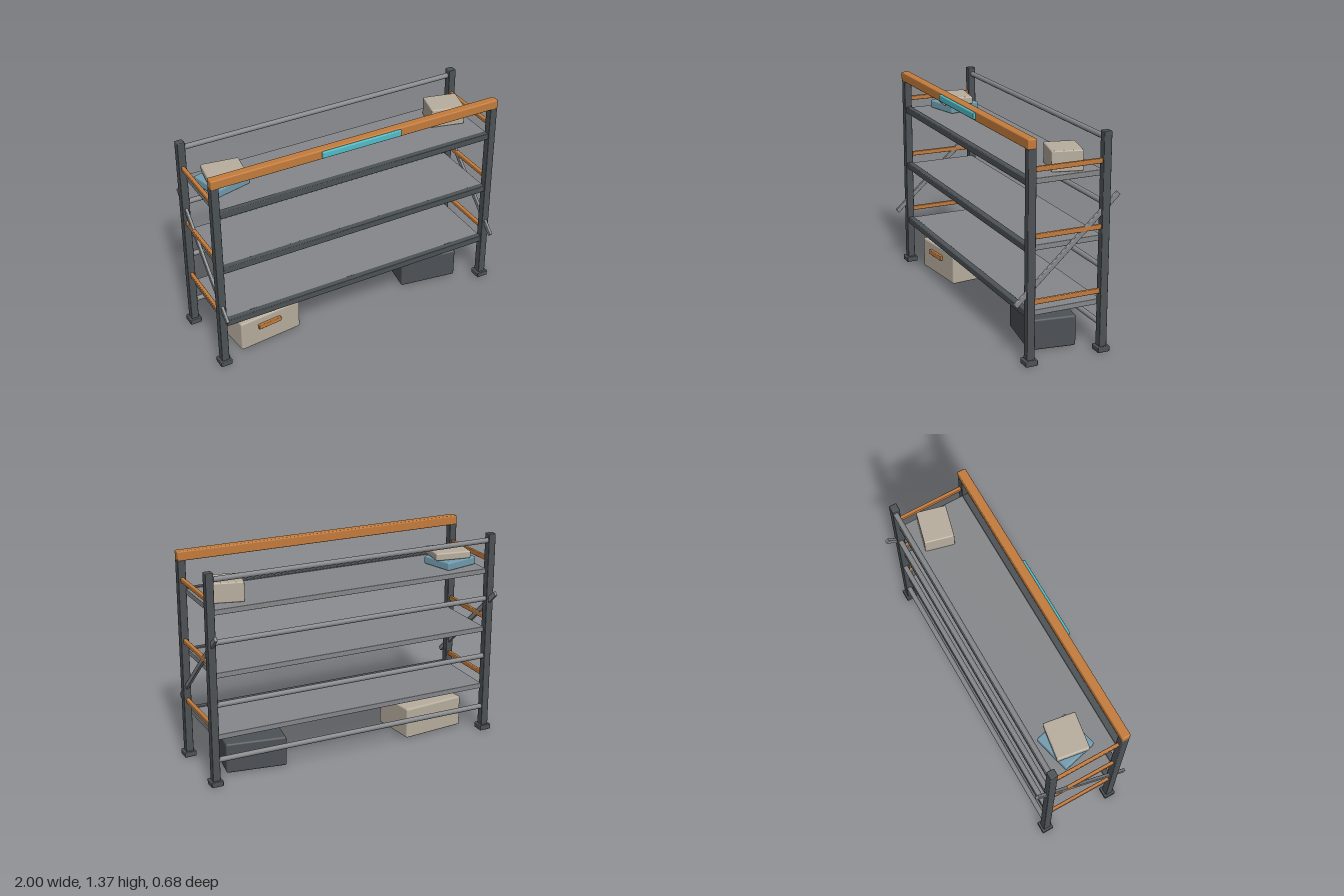
import * as THREE from 'three';
import { RoundedBoxGeometry } from 'three/addons/geometries/RoundedBoxGeometry.js';

function flat(name, color) {
  const m = new THREE.MeshStandardMaterial({ color });
  m.name = name;
  return m;
}

export function createModel() {
  const rack = new THREE.Group();
  rack.name = 'storageRack';

  const darkSteel = flat('darkSteel', 0x4d5256);
  const greySteel = flat('greySteel', 0x85878a);
  const orange = flat('orange', 0xc47c3c);
  const cyan = flat('cyan', 0x52bcc8);
  const beige = flat('beige', 0xb8ae9f);
  const blue = flat('blue', 0x729db0);
  const brass = flat('brass', 0xc79c45);

  // Softly bevelled box, placed by its centre and turned about y
  function block(name, material, size, position, turn = 0, bevel = 0.005) {
    const mesh = new THREE.Mesh(new RoundedBoxGeometry(...size, 2, bevel), material);
    mesh.name = name;
    mesh.position.set(...position);
    mesh.rotation.y = turn;
    rack.add(mesh);
    return mesh;
  }

  // Posts, feet, end bars and diagonal braces, mirrored left and right
  for (const [side, x] of [['left', 0.96], ['right', -0.96]]) {
    for (const [end, z, top] of [['Front', 0.239, 1.31], ['Back', -0.239, 1.36]]) {
      block(`${side}${end}Post`, darkSteel, [0.05, top - 0.01, 0.05], [x, (top + 0.01) / 2, z]);
      block(`${side}${end}Foot`, darkSteel, [0.078, 0.036, 0.078], [x, 0.018, z]);
    }
    for (const y of [0.388, 0.787, 1.185]) {
      block(`${side}EndBar`, orange, [0.022, 0.03, 0.45], [x, y, 0]);
    }
    const brace = block(`${side}Brace`, greySteel, [0.02, 0.031, 0.892], [x, 0.679, 0.002], 0, 0.004);
    brace.rotation.x = 0.738;
  }

  // Shelves with a raised dark front lip
  for (const y of [0.31, 0.71, 1.107]) {
    block('shelfPanel', greySteel, [1.88, 0.034, 0.45], [0, y, -0.01], 0, 0.003);
    block('shelfFrontLip', darkSteel, [1.88, 0.043, 0.04], [0, y, 0.235]);
  }
  // Thin strips beneath the two upper shelves
  for (const y of [0.686, 1.083]) {
    block('underShelfStrip', brass, [1.52, 0.016, 0.034], [0, y, 0.107], 0, 0.003);
  }

  // Round rails across the back
  for (const y of [0.166, 0.527, 0.925, 1.315]) {
    const rail = new THREE.Mesh(new THREE.CylinderGeometry(0.017, 0.017, 1.9, 16), greySteel);
    rail.name = 'backRail';
    rail.rotation.z = Math.PI / 2;
    rail.position.set(0, y, -0.243);
    rack.add(rail);
  }

  // Front header beam with its plate
  block('headerBeam', orange, [1.97, 0.062, 0.056], [0, 1.336, 0.24], 0, 0.008);
  block('headerPlate', cyan, [0.54, 0.042, 0.02], [0, 1.338, 0.274], 0, 0.006);

  // Crates on the floor
  block('beigeCrate', beige, [0.435, 0.207, 0.325], [-0.615, 0.1065, 0.012], 0.1, 0.012);
  block('crateHandle', orange, [0.164, 0.033, 0.022], [-0.612, 0.144, 0.182], 0.1);
  block('darkCrate', darkSteel, [0.39, 0.197, 0.3], [0.63, 0.1015, -0.012], -0.15, 0.012);

  // Boxes on the top shelf
  block('topShelfBox', beige, [0.22, 0.126, 0.19], [0.792, 1.187, -0.053], -0.245, 0.008);
  block('lowerFlatBox', blue, [0.247, 0.054, 0.228], [-0.785, 1.151, -0.04], 0.24, 0.01);
  block('upperFlatBox', beige, [0.238, 0.05, 0.205], [-0.773, 1.204, -0.03], -0.15, 0.01);

  return rack;
}
